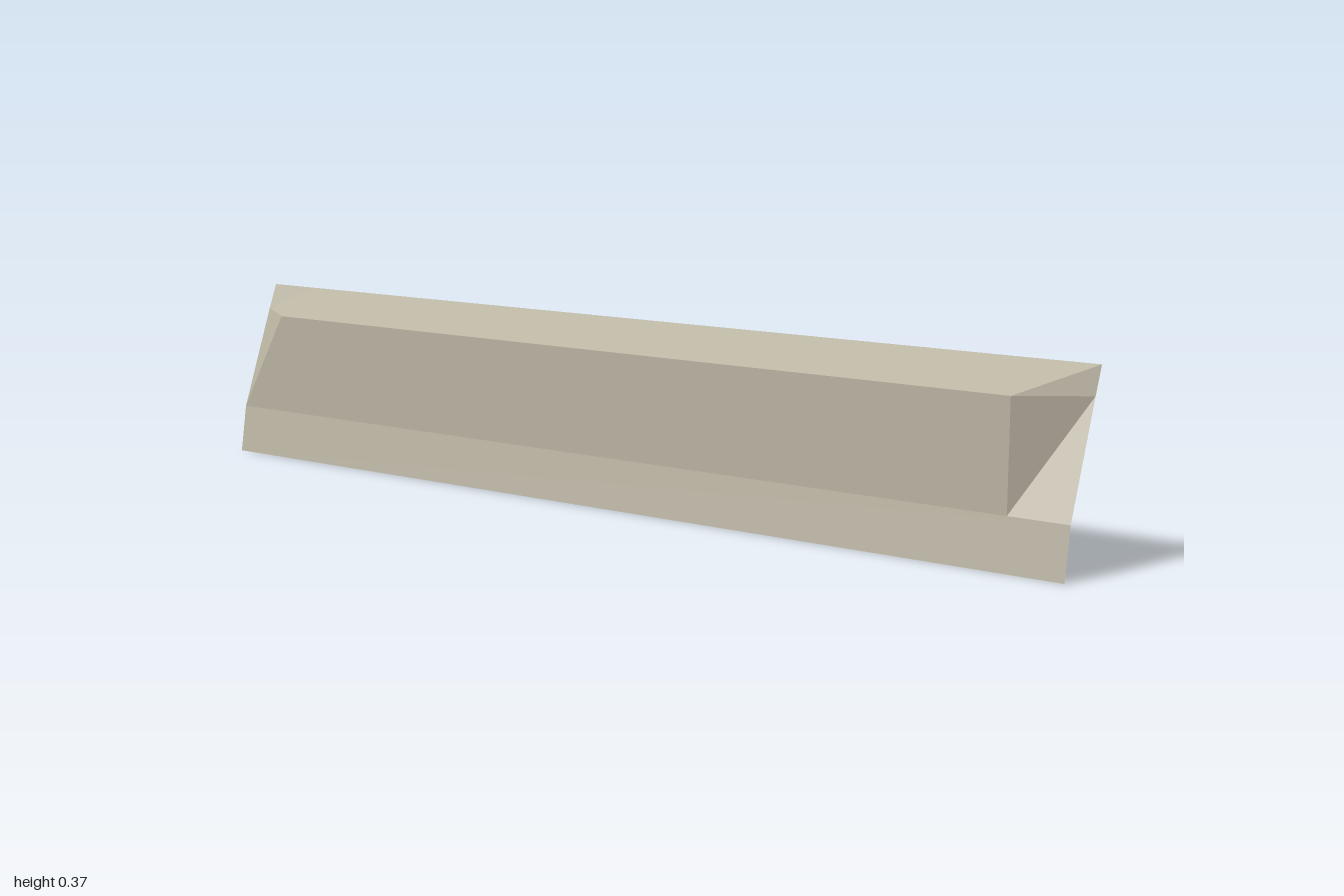
import * as THREE from 'three';

const stone = new THREE.MeshStandardMaterial({ color: 0xbab4a2, side: THREE.DoubleSide });
stone.name = 'warm grey panel';
const lining = new THREE.MeshStandardMaterial({ color: 0xbbb0a2 });
lining.name = 'pinkish grey lining';
const slate = new THREE.MeshStandardMaterial({ color: 0x39404c });
slate.name = 'dark slate bars';

// Cross-section points, each placed at a chosen z
const at = (x, y) => z => [x, y, z];
const foot = at(-0.061, 0);
const bend = at(-0.044, 0.1);
const eave = at(-0.044, 0.313);
const tip = at(0.039, 0.313);
const ridge = at(0.061, 0.366);
const END = 1, IN = 0.88;

// Flat-shaded sheet from convex polygons, each fanned into triangles
function sheet(name, material, ...polygons) {
  const positions = [];
  for (const p of polygons)
    for (let i = 1; i < p.length - 1; i++) positions.push(...p[0], ...p[i], ...p[i + 1]);
  const g = new THREE.BufferGeometry();
  g.setAttribute('position', new THREE.Float32BufferAttribute(positions, 3));
  g.computeVertexNormals();
  const m = new THREE.Mesh(g, material);
  m.name = name;
  return m;
}

export function createModel() {
  const model = new THREE.Group();
  model.name = 'foldedWallPanel';

  // Long folded faces
  const wall = [bend(-END), bend(IN), eave(IN), eave(-IN)];
  model.add(
    sheet('lowerSkirt', stone, [foot(-END), foot(END), bend(END), bend(-END)]),
    sheet('wall', stone, wall),
    sheet('slopedTop', stone, [eave(-IN), eave(IN), ridge(END), ridge(-IN)])
  );

  // Inner lining of the wall
  const inner = sheet('innerLining', lining, [...wall].reverse());
  inner.position.x = 0.001;
  model.add(inner);

  // Faceted ends; the folds run the other way at the back
  model.add(
    sheet('frontEnd', stone,
      [bend(IN), tip(END), eave(IN)],
      [bend(IN), bend(END), tip(END)],
      [eave(IN), tip(END), ridge(END)]),
    sheet('backEnd', stone,
      [bend(-END), eave(-IN), tip(-END)],
      [eave(-IN), ridge(-IN), tip(-END)],
      [tip(-END), ridge(-IN), ridge(-END)])
  );

  // Window grille: thin fins standing on the inner wall
  const grille = new THREE.Group();
  grille.name = 'windowGrille';
  const z0 = -0.7, z1 = 0.35, y0 = 0.16, y1 = 0.312, depth = 0.006, thin = 0.0015;
  const bar = (name, h, l, y, z) => {
    const m = new THREE.Mesh(new THREE.BoxGeometry(depth, h, l), slate);
    m.name = name;
    m.position.set(-0.043 + depth / 2, y, z);
    grille.add(m);
  };
  const cells = 18;
  for (let i = 0; i <= cells; i++)
    bar('uprightBar', y1 - y0, thin, (y0 + y1) / 2, z0 + (z1 - z0) * i / cells);
  for (const y of [y0, (y0 + y1) / 2, y1])
    bar('crossBar', thin, z1 - z0, y, (z0 + z1) / 2);
  model.add(grille);

  return model;
}
